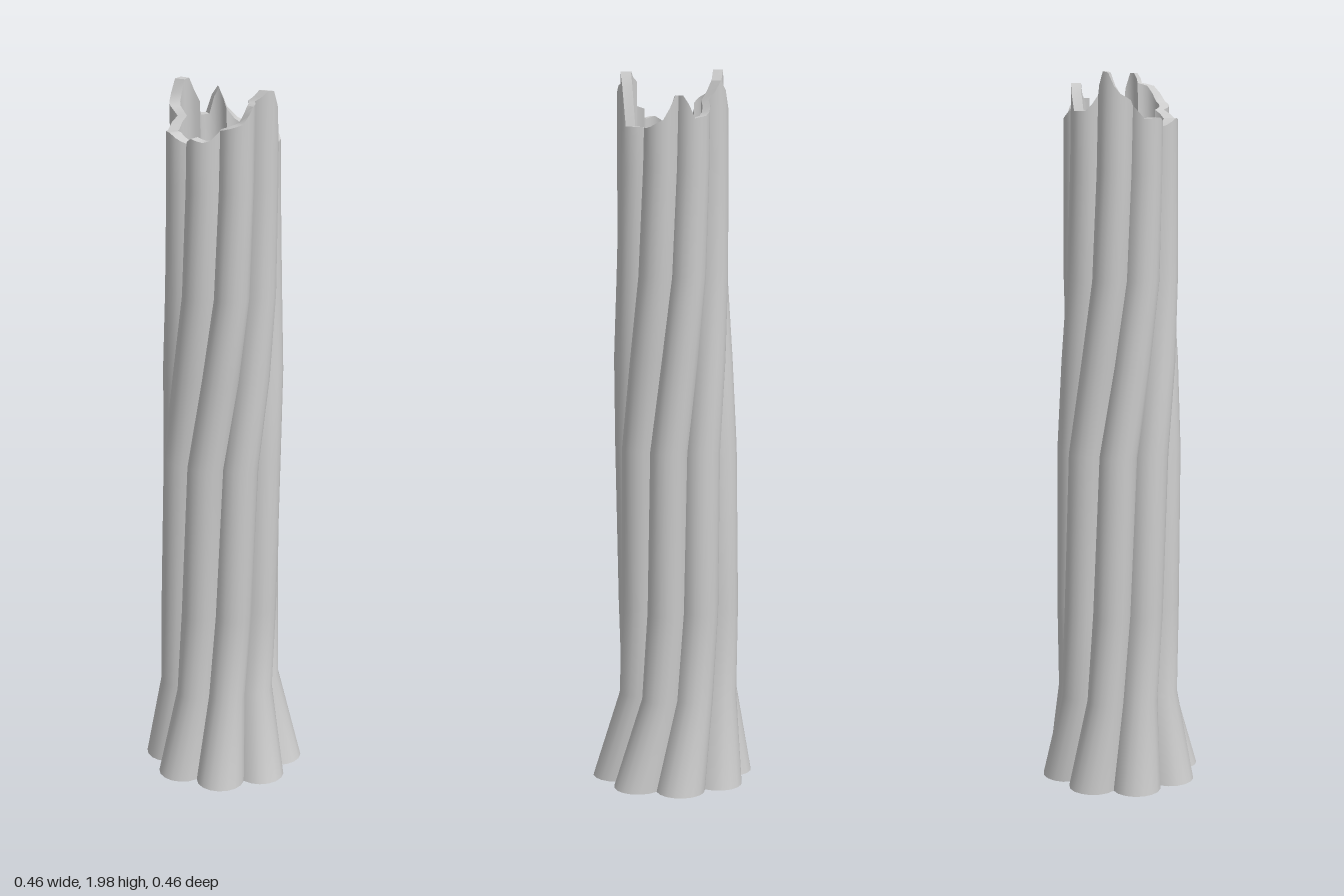
import * as THREE from 'three';
import { toCreasedNormals } from 'three/addons/utils/BufferGeometryUtils.js';

const LOBES = 8, SEGS = 8, COLS = LOBES * SEGS;
const FLOOR_Y = 1.72, WALL = 0.8;
const rad = THREE.MathUtils.degToRad;

// height, outer radius, twist in degrees, sideways drift of the axis
const SECTIONS = [
  [0, 0.228, 0, 0], [0.25, 0.174, 13, -0.017], [0.5, 0.174, 21, -0.016],
  [0.95, 0.172, 28, -0.009], [1.2, 0.166, 45, -0.003], [1.43, 0.161, 59, 0],
  [1.72, 0.157, 65, 0], [2, 0.155, 68, 0],
];

// broken rim: angle in degrees (from +x towards +z), height
const RIM = [
  [0, 1.95], [12, 1.94], [22, 1.9], [45, 1.88], [58, 1.85], [75, 1.86], [90, 1.835], [108, 1.865],
  [125, 1.86], [140, 1.91], [155, 1.93], [168, 2], [179, 1.93], [188, 1.88], [203, 1.88],
  [214, 1.96], [225, 1.9], [238, 1.86], [255, 1.85], [264, 1.91], [276, 1.91], [284, 1.85],
  [302, 1.825], [332, 1.83], [340, 1.97], [349, 1.98], [360, 1.95],
];

// linear interpolation of one column of a table keyed by its first column
function lookup(table, key, col) {
  let i = 1;
  while (i < table.length - 1 && table[i][0] < key) i++;
  const a = table[i - 1], b = table[i];
  return THREE.MathUtils.lerp(a[col], b[col], (key - a[0]) / (b[0] - a[0]));
}

// scalloped outline of radius 1: a ring of round lobes meeting in sharp valleys
const OUTLINE = Array.from({ length: COLS }, (_, j) => {
  const lobe = Math.floor(j / SEGS) * Math.PI * 2 / LOBES;
  const a = rad(-86 + 172 * (j % SEGS) / SEGS);
  const x = 0.7 + 0.3 * Math.cos(a), z = 0.3 * Math.sin(a);
  return { angle: lobe + Math.atan2(z, x), r: Math.hypot(x, z) };
});

// point on the twisted shaft
function shaftPoint(j, y, scale) {
  const o = OUTLINE[j % COLS];
  const theta = o.angle - rad(lookup(SECTIONS, y, 2));
  const r = o.r * scale * lookup(SECTIONS, y, 1);
  return new THREE.Vector3(lookup(SECTIONS, y, 3) + r * Math.cos(theta), y, r * Math.sin(theta));
}

function rimHeight(j) {
  const deg = THREE.MathUtils.radToDeg(OUTLINE[j % COLS].angle) - 67;
  return lookup(RIM, (deg + 720) % 360, 1);
}

// hollow wall: up the outside, over the rim, down the inside, across the foot
function wallGeometry() {
  const levels = SECTIONS.slice(0, -1).map((s) => s[0]);
  const ring = (y, scale) => OUTLINE.map((_, j) => shaftPoint(j, y ?? rimHeight(j), scale));
  const rings = [
    ...levels.map((y) => ring(y, 1)), ring(null, 1),
    ring(null, WALL), ...levels.slice().reverse().map((y) => ring(y, WALL)),
  ];
  const pts = rings.flat(), index = [];
  for (let i = 0; i < rings.length; i++) {
    const lo = i * COLS, hi = ((i + 1) % rings.length) * COLS;
    for (let j = 0; j < COLS; j++) {
      const k = (j + 1) % COLS;
      index.push(lo + j, hi + j, hi + k, lo + j, hi + k, lo + k);
    }
  }
  const geo = new THREE.BufferGeometry().setFromPoints(pts);
  geo.setIndex(index);
  return toCreasedNormals(geo, 0.6);
}

// flat plug closing the bore just under the break
function floorGeometry() {
  const shape = new THREE.Shape(OUTLINE.map((_, j) => {
    const p = shaftPoint(j, FLOOR_Y, WALL);
    return new THREE.Vector2(p.x, -p.z);
  }));
  return new THREE.ShapeGeometry(shape).rotateX(-Math.PI / 2).translate(0, FLOOR_Y, 0);
}

export function createModel() {
  const group = new THREE.Group();
  group.name = 'brokenTwistedColumn';
  const add = (name, geometry, side) => {
    const mesh = new THREE.Mesh(geometry, new THREE.MeshStandardMaterial({ color: 0xcccccc, side }));
    mesh.name = name;
    group.add(mesh);
  };
  add('flutedWall', wallGeometry(), THREE.FrontSide);
  add('innerFloor', floorGeometry(), THREE.DoubleSide);
  return group;
}
